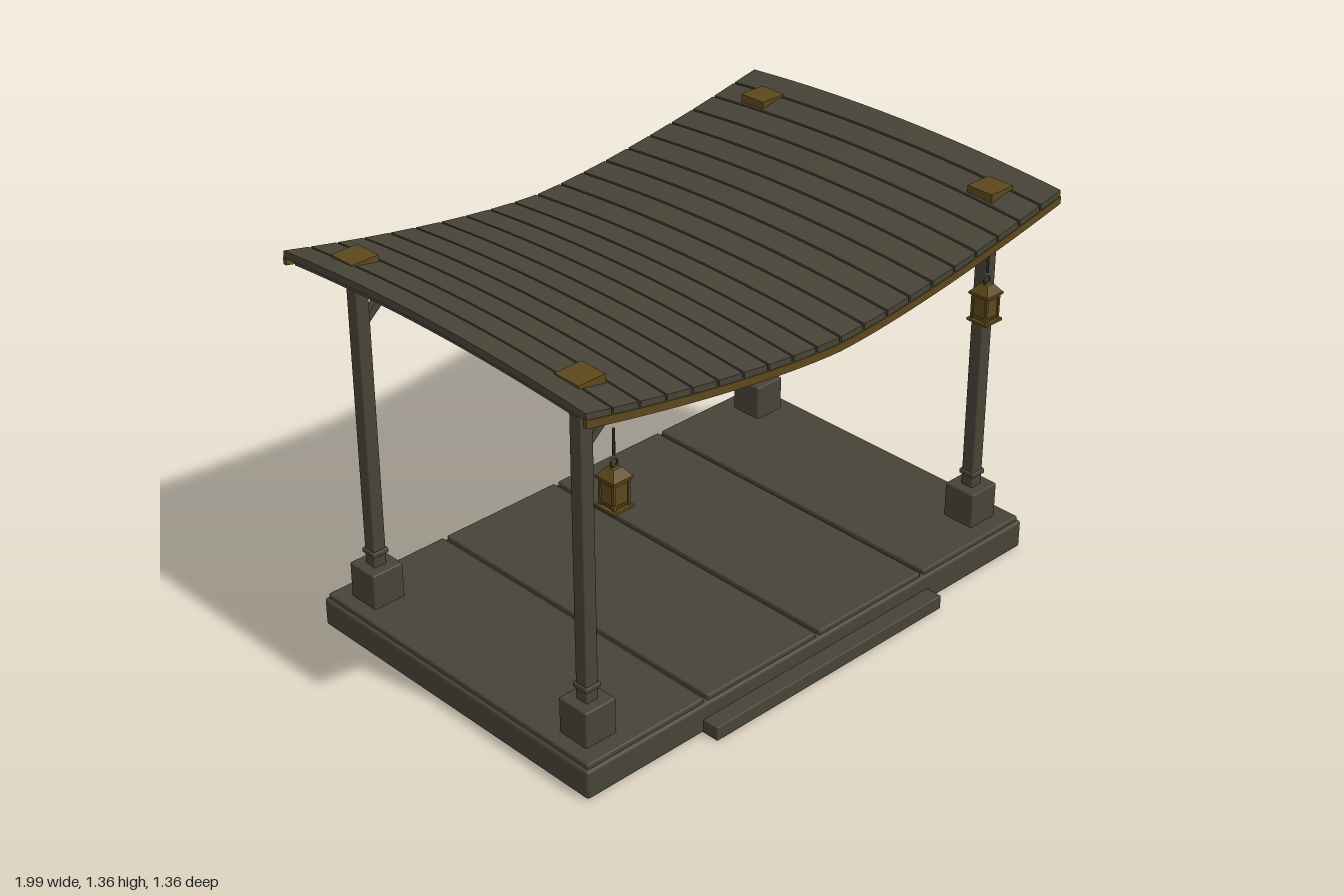
import * as THREE from 'three';
import { RoundedBoxGeometry } from 'three/addons/geometries/RoundedBoxGeometry.js';

const mat = (name, color) => new THREE.MeshStandardMaterial({ name, color });

// height of the sagging roof surface, also bowed along z
const roofY = (x, z) => 1.22 + 0.145 * Math.pow(Math.abs(x), 1.5) - 0.03 * (z / 0.67) ** 2;

export function createModel() {
  const stone = mat('weathered stone', 0x474337);
  const gold = mat('aged gold', 0x5c481c);
  const iron = mat('dark iron', 0x2b2922);

  const model = new THREE.Group();
  model.name = 'pavilion';

  function add(parent, name, geometry, material, x = 0, y = 0, z = 0) {
    const mesh = new THREE.Mesh(geometry, material);
    mesh.name = name;
    mesh.position.set(x, y, z);
    parent.add(mesh);
    return mesh;
  }
  // box given by its bottom height, with optional softened edges
  function box(parent, name, material, w, h, d, x, y, z, r = 0) {
    const g = r ? new RoundedBoxGeometry(w, h, d, 2, r) : new THREE.BoxGeometry(w, h, d);
    return add(parent, name, g, material, x, y + h / 2, z);
  }
  // box bent to follow the roof; top is the offset of its upper face
  function roofStrip(parent, name, material, w, h, d, x, top, z, sx, sz) {
    const g = new THREE.BoxGeometry(w, h, d, sx, 1, sz).translate(x, top - h / 2, z);
    const p = g.attributes.position;
    for (let i = 0; i < p.count; i++) p.setY(i, p.getY(i) + roofY(p.getX(i), p.getZ(i)));
    g.computeVertexNormals();
    return add(parent, name, g, material);
  }

  // platform, floor slabs and front step
  box(model, 'platform', stone, 1.964, 0.103, 1.256, 0, 0, 0, 0.012);
  for (let i = 0; i < 4; i++) {
    box(model, 'floorSlab', stone, 0.473, 0.05, 1.235, -0.735 + i * 0.49, 0.07, 0, 0.006);
  }
  box(model, 'frontStep', stone, 1.02, 0.05, 0.08, 0, 0, 0.647, 0.004);

  // roof planks, lining and gilded end trims
  const roof = new THREE.Group();
  roof.name = 'roof';
  model.add(roof);
  for (let i = 0; i < 20; i++) {
    roofStrip(roof, 'roofPlank', stone, 0.092, 0.025, 1.34, -0.95 + i * 0.1, 0, 0, 1, 16);
  }
  roofStrip(roof, 'roofLining', stone, 1.98, 0.012, 1.25, 0, -0.025, 0, 40, 16);
  for (const s of [-1, 1]) {
    roofStrip(roof, 'roofTrim', gold, 1.994, 0.026, 0.014, 0, -0.02, s * 0.666, 40, 1);
  }

  // posts with pedestals, collars, caps and braces
  for (const sx of [-1, 1]) {
    for (const sz of [-1, 1]) {
      const post = new THREE.Group();
      post.name = 'postAssembly';
      post.position.set(sx * 0.862, 0, sz * 0.498);
      model.add(post);
      box(post, 'pedestal', stone, 0.12, 0.135, 0.12, 0, 0.11, 0, 0.006);
      box(post, 'post', stone, 0.048, 1.06, 0.048, 0, 0.23, 0, 0.005);
      box(post, 'lowerCollar', stone, 0.06, 0.018, 0.06, 0, 0.284, 0, 0.004);
      box(post, 'upperCollar', stone, 0.057, 0.022, 0.057, 0, 1.246, 0, 0.004);
      box(post, 'postCap', gold, 0.1, 0.062, 0.1, 0, 1.274, 0);
      const brace = add(post, 'brace', new THREE.BoxGeometry(0.2, 0.025, 0.026), stone, -sx * 0.094, 1.176, 0);
      brace.rotation.z = -sx * 0.71;
    }
    box(model, 'sideBeam', stone, 0.035, 0.032, 0.95, sx * 0.862, 1.275, 0);

    // hanging lantern beside each front post
    const lantern = new THREE.Group();
    lantern.name = 'lantern';
    lantern.position.set(sx * 0.798, 0, 0.56);
    model.add(lantern);
    box(lantern, 'lanternBase', gold, 0.08, 0.008, 0.08, 0, 0.908, 0);
    box(lantern, 'lanternBody', gold, 0.056, 0.088, 0.056, 0, 0.916, 0);
    for (const a of [-1, 1]) for (const b of [-1, 1]) {
      box(lantern, 'lanternCorner', gold, 0.009, 0.088, 0.009, a * 0.028, 0.916, b * 0.028);
    }
    for (const y of [0.922, 0.99]) box(lantern, 'lanternRail', gold, 0.062, 0.006, 0.062, 0, y, 0);
    box(lantern, 'lanternEaves', gold, 0.078, 0.008, 0.078, 0, 1.002, 0);
    const cap = add(lantern, 'lanternRoof', new THREE.CylinderGeometry(0.022, 0.053, 0.028, 4, 1).toNonIndexed(), gold, 0, 1.024, 0);
    cap.geometry.computeVertexNormals();
    cap.rotation.y = Math.PI / 4;
    add(lantern, 'lanternRing', new THREE.TorusGeometry(0.013, 0.0035, 8, 20), iron, 0, 1.05, 0);
    add(lantern, 'lanternChain', new THREE.CylinderGeometry(0.0045, 0.0045, 0.085, 8), iron, 0, 1.119, 0);
  }

  model.position.z = -0.007;
  const out = new THREE.Group();
  out.name = 'openPavilion';
  out.add(model);
  return out;
}
